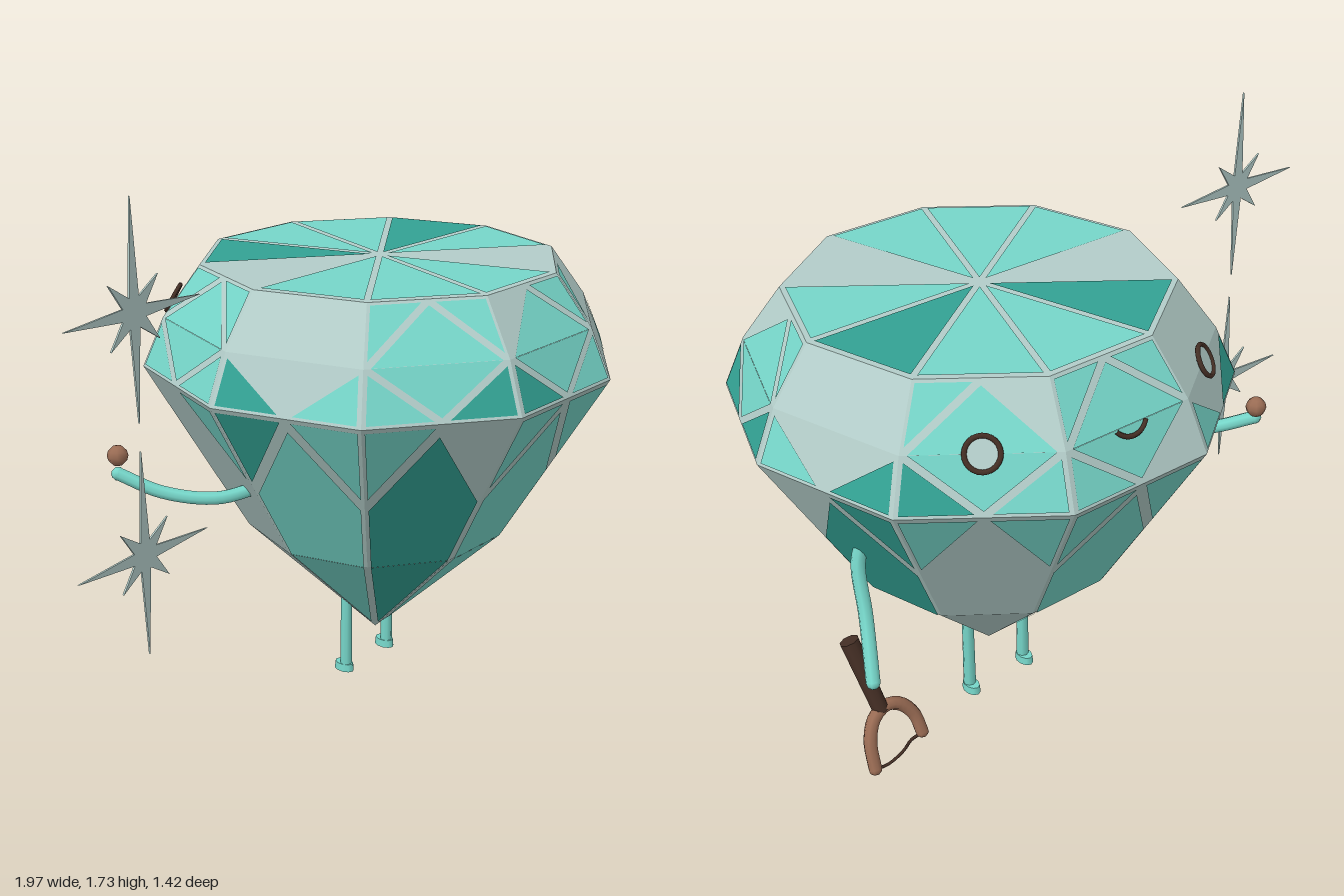
import * as THREE from 'three';

const mat = (name, color) => Object.assign(new THREE.MeshStandardMaterial({ color }), { name });
const V = (x, y, z) => new THREE.Vector3(x, y, z);

export function createModel() {
  const model = new THREE.Group();
  const M = mat('mid teal', 0x76d6c9), D = mat('deep teal', 0x33a294), P = mat('pale grey teal', 0xb3cdc9);
  const darkBrown = mat('dark brown', 0x452f25), brown = mat('brown', 0x9a6c54);
  const paints = { M, D, P };

  const add = (name, geo, material, parent = model) => {
    const mesh = new THREE.Mesh(geo, material);
    mesh.name = name;
    parent.add(mesh);
    return mesh;
  };
  const tube = (name, pts, r, material, sides = 8) => {
    const path = new THREE.CatmullRomCurve3(pts.map(p => V(...p)));
    add(name, new THREE.TubeGeometry(path, 20, r, sides), material);
    // closed ends
    [0, 1].forEach(t => {
      const cap = add(name + 'End', new THREE.SphereGeometry(r, sides, 6), material);
      cap.position.copy(path.getPoint(t));
    });
  };

  // Gem body: a ten-sided lathe
  const SIDES = 10, TURN = 0.04, CX = 0.26;
  const rings = { apex: [0, 0.13], low: [0.42, 0.54], girdle: [0.735, 1.09], mid: [0.67, 1.24], table: [0.555, 1.395] };
  const profile = [...Object.values(rings), [0, 1.395]].map(p => new THREE.Vector2(...p));
  const bodyGeo = new THREE.LatheGeometry(profile, SIDES, Math.PI / 2 - TURN).toNonIndexed();
  bodyGeo.computeVertexNormals();
  add('gemBody', bodyGeo, P).position.x = CX;

  // Painted facets, gathered by colour and lifted just off the body
  const corner = (ring, k) => {
    const [r, y] = rings[ring], a = TURN + k * Math.PI * 2 / SIDES;
    return V(CX + r * Math.cos(a), y, r * Math.sin(a));
  };
  const mix = (a, b, t = 0.5) => a.clone().lerp(b, t);
  const mean = pts => pts.reduce((s, p) => s.add(p), V(0, 0, 0)).divideScalar(pts.length);
  const painted = { M: [], D: [], P: [] };
  const patch = (colour, pts, scale = 0.88, centre = mean(pts)) => {
    if (colour === 'P') return;
    const n = V(0, 0, 0).crossVectors(pts[1].clone().sub(pts[0]), pts[2].clone().sub(pts[0])).normalize();
    const out = mean(pts).sub(V(CX, 0.95, 0));
    let loop = pts;
    if (n.dot(out) < 0) { n.negate(); loop = [...pts].reverse(); }
    const q = loop.map(p => mix(centre, p, scale).addScaledVector(n, 0.003));
    for (let i = 1; i < q.length - 1; i++)
      [q[0], q[i], q[i + 1]].forEach(p => painted[colour].push(p.x, p.y, p.z));
  };

  const table = 'MPMMMPDMMD';
  const crownDiamond = 'MPMMPMPMMP';
  const crownLow = ['DD', 'MP', 'MD', 'DM', 'MD', 'MM', 'DM', 'PM', 'MD', 'DM'];
  const crownHigh = ['MP', 'PM', 'MP', 'MM', 'PP', 'MM', 'PP', 'MM', 'PM', 'PP'];
  const kite = 'MPMDMPDMPD';
  const kiteSide = ['PM', 'MD', 'MM', 'PM', 'MD', 'MP', 'PP', 'MM', 'MM', 'DP'];
  for (let k = 0; k < SIDES; k++) {
    const [gl, gr, ml, mr, tl, tr, ll, lr] = ['girdle', 'mid', 'table', 'low']
      .flatMap(r => [corner(r, k), corner(r, k + 1)]);
    const g = mix(gl, gr), m = mix(ml, mr), t = mix(tl, tr), l = mix(ll, lr);
    // table wedge
    patch(table[k], [V(CX, 1.395, 0), tl, tr], 0.92);
    // crown: a diamond across the crease, with corner triangles
    patch(crownDiamond[k], [ml, t, mr], 0.9, m);
    patch(crownDiamond[k], [ml, g, mr], 0.9, m);
    patch(crownHigh[k][0], [ml, tl, t], 0.84);
    patch(crownHigh[k][1], [mr, tr, t], 0.84);
    patch(crownLow[k][0], [ml, gl, g], 0.84);
    patch(crownLow[k][1], [mr, gr, g], 0.84);
    // lower body: a long kite to the tip, with triangles under the girdle
    const el = mix(gl, ll, 0.52), er = mix(gr, lr, 0.52);
    patch(kite[k], [g, el, ll, lr, er], 0.92, l);
    patch(kite[k], [ll, lr, V(CX, 0.13, 0)], 0.92, l);
    patch(kiteSide[k][0], [gl, g, el], 0.88);
    patch(kiteSide[k][1], [gr, g, er], 0.88);
  }
  for (const [key, list] of Object.entries(painted)) {
    if (!list.length) continue;
    const geo = new THREE.BufferGeometry();
    geo.setAttribute('position', new THREE.Float32BufferAttribute(list, 3));
    geo.computeVertexNormals();
    add('paintedFacets' + key, geo, paints[key]);
  }

  // Face on the rear crown: two ring eyes and a smile
  const onCrown = (name, k) => {
    const a = TURN + (k + 0.5) * Math.PI * 2 / SIDES, r = 0.645;
    const group = new THREE.Group();
    group.name = name;
    group.position.set(CX + r * Math.cos(a), 1.245, r * Math.sin(a));
    group.rotation.set(-0.5, Math.PI / 2 - a, 0, 'YXZ');
    model.add(group);
    return group;
  };
  [['leftEye', 8], ['rightEye', 6]].forEach(([name, k]) => {
    const eye = onCrown(name, k);
    add('eyeRing', new THREE.TorusGeometry(0.046, 0.007, 6, 24), darkBrown, eye);
    add('eyeFill', new THREE.CircleGeometry(0.042, 24), P, eye);
  });
  const smile = add('smile', new THREE.TorusGeometry(0.06, 0.007, 6, 16, 2), darkBrown, onCrown('mouth', 7));
  smile.rotation.z = -Math.PI / 2 - 1;
  smile.position.y = 0.03;

  // Arms
  tube('leftArm', [[0.76, 0.83, -0.1], [0.79, 0.74, -0.1], [0.81, 0.6, -0.15], [0.86, 0.44, -0.24]], 0.021, M);
  tube('rightArm', [[-0.2, 0.76, -0.08], [-0.33, 0.742, -0.15], [-0.44, 0.765, -0.27], [-0.515, 0.82, -0.375]], 0.021, M);
  add('pebble', new THREE.SphereGeometry(0.032, 8, 6), brown).position.set(-0.5, 0.87, -0.39);

  // Legs with toes pointing to the rear
  [0.15, 0.37].forEach(x => {
    add('leg', new THREE.CylinderGeometry(0.018, 0.02, 0.32, 8), M).position.set(x, 0.165, -0.036);
    const foot = add('foot', new THREE.CylinderGeometry(0.022, 0.024, 0.026, 10), M);
    foot.position.set(x, 0.013, -0.044);
    foot.scale.z = 1.5;
  });

  // Slingshot: handle, fork and hanging band
  const top = V(0.862, 0.525, -0.135), base = V(0.825, 0.3, -0.215);
  const handle = add('slingshotHandle', new THREE.CylinderGeometry(0.029, 0.025, top.distanceTo(base), 8), darkBrown);
  handle.position.copy(mix(top, base));
  handle.quaternion.setFromUnitVectors(V(0, 1, 0), top.clone().sub(base).normalize());
  const tilt = ([x, y]) => [x, y, -0.21 - (0.32 - y) * 0.36];
  tube('slingshotFork', [[0.718, 0.185], [0.728, 0.245], [0.765, 0.293], [0.81, 0.308], [0.855, 0.288],
    [0.885, 0.235], [0.894, 0.155]].map(tilt), 0.02, brown);
  tube('slingshotBand', [[0.718, 0.18, -0.26], [0.735, 0.135, -0.225], [0.75, 0.08, -0.2], [0.8, 0.06, -0.197],
    [0.85, 0.075, -0.2], [0.86, 0.135, -0.225], [0.892, 0.15, -0.265]], 0.005, darkBrown, 5);

  // Two flat eight-pointed sparkles
  const star = new THREE.Shape();
  for (let i = 0; i < 16; i++) {
    const a = i * Math.PI / 8;
    const r = i % 2 ? 0.045 : i % 4 ? 0.125 : i % 8 ? 0.305 : 0.245;
    star[i ? 'lineTo' : 'moveTo'](r * Math.cos(a), r * Math.sin(a));
  }
  star.closePath();
  const starGeo = new THREE.ExtrudeGeometry(star, { depth: 0.006, bevelEnabled: false });
  [1.42, 0.73].forEach(y => add('sparkle', starGeo, P).position.set(-0.735, y, -0.045));

  return model;
}
